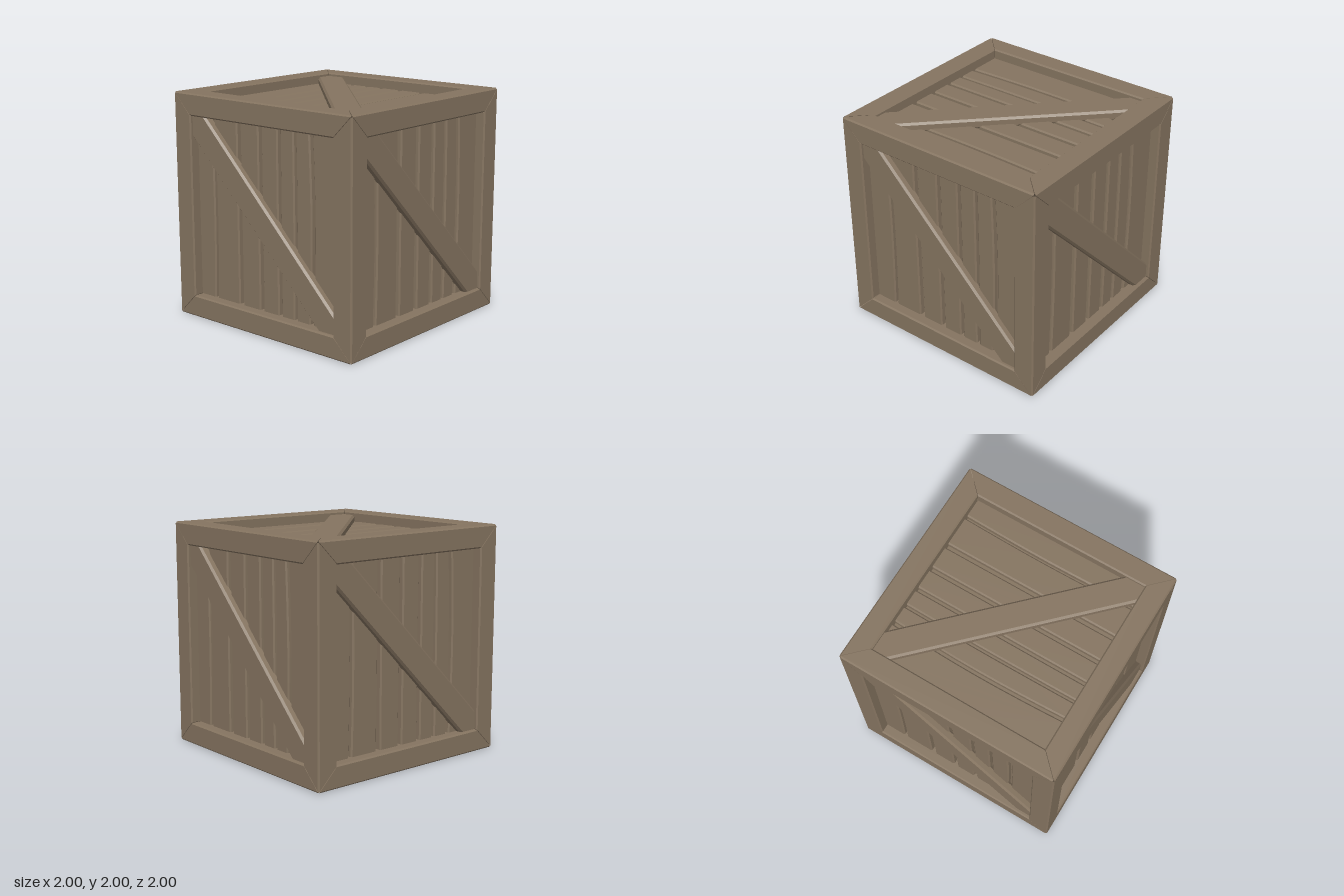
import * as THREE from 'three';

const wood = new THREE.MeshStandardMaterial({ color: 0x857460 });
wood.name = 'brown wood';

const DEPTH = 0.09; // how far the boards sit below the frame

// Square beam along one cube edge, chamfered, with mitred ends
function beamGeometry() {
  const c = 0.012, i = 0.805;
  const section = new THREE.Shape([
    [i, i], [1 - c, i], [1, i + c], [1, 1 - c], [1 - c, 1], [i + c, 1], [i, 1 - c],
  ].map(([x, y]) => new THREE.Vector2(x, y)));
  const geo = new THREE.ExtrudeGeometry(section, { depth: 2, bevelEnabled: false });
  const p = geo.attributes.position;
  for (let k = 0; k < p.count; k++) {
    const end = Math.min(p.getX(k), p.getY(k)) - 0.003;
    p.setZ(k, p.getZ(k) > 1 ? end : -end);
  }
  geo.computeVertexNormals();
  return geo;
}

// Flat board with chamfered edges, its top at the given height
function board(name, points, bottom, top, bevel) {
  const geo = new THREE.ExtrudeGeometry(new THREE.Shape(points), {
    depth: top - bottom - 2 * bevel, bevelEnabled: true, bevelSegments: 1,
    bevelSize: bevel, bevelThickness: bevel, bevelOffset: -bevel,
  });
  geo.translate(0, 0, bottom + bevel);
  const mesh = new THREE.Mesh(geo, wood);
  mesh.name = name;
  return mesh;
}

// Gaps between planks: centre, half width, sideways bow
const GAPS = [
  [-0.595, 0.013, 0.016], [-0.285, 0.02, 0], [-0.04, 0.018, 0],
  [0.175, 0.016, 0], [0.35, 0.013, 0.006], [0.525, 0.016, 0.024],
];

// One recessed side: planks running upward and a diagonal brace
function panel(name, shift) {
  const group = new THREE.Group();
  group.name = name;
  const H = 0.83, N = 8;
  const edge = (gap, side) => {
    const line = [];
    for (let k = 0; k <= N; k++) {
      const v = -H + (2 * H * k) / N;
      const u = gap ? gap[0] + shift + side * gap[1] + gap[2] * Math.cos((v / H) * Math.PI / 2) : -side * H;
      line.push(new THREE.Vector2(u, v));
    }
    return line;
  };
  for (let k = 0; k <= GAPS.length; k++) {
    const left = edge(GAPS[k - 1], 1);
    const right = edge(GAPS[k], -1);
    group.add(board('plank', [...right, ...left.reverse()], 0.85, 1 - DEPTH, 0.012));
  }
  const up = 0.175 + shift, low = -0.17 + shift, L = 0.83;
  const brace = [
    [-L, L], [-L, low + L], [low + L, -L], [L, -L], [L, up - L], [up - L, L],
  ].map(([u, v]) => new THREE.Vector2(u, v));
  group.add(board('diagonalBrace', brace, 0.88, 0.97, 0.018));
  return group;
}

export function createModel() {
  const model = new THREE.Group();
  model.name = 'crate';
  const body = new THREE.Group();
  body.name = 'crateBody';
  body.position.y = 1;
  model.add(body);

  // Core behind the plank gaps
  const core = new THREE.Mesh(new THREE.BoxGeometry(1.72, 1.72, 1.72), wood);
  core.name = 'core';
  body.add(core);

  // Twelve frame beams
  const geo = beamGeometry();
  const turns = [[0, 0, 0], [0, Math.PI / 2, 0], [Math.PI / 2, 0, 0]];
  for (const turn of turns) {
    const set = new THREE.Group();
    set.name = 'frameBeams';
    set.rotation.set(...turn);
    for (let k = 0; k < 4; k++) {
      const beam = new THREE.Mesh(geo, wood);
      beam.name = 'frameBeam';
      beam.rotation.z = (k * Math.PI) / 2;
      set.add(beam);
    }
    body.add(set);
  }

  // Six panels: sideways axis, plank axis, gap shift
  const sides = [
    ['frontPanel', [1, 0, 0], [0, 1, 0], 0],
    ['backPanel', [-1, 0, 0], [0, 1, 0], 0],
    ['leftPanel', [0, 0, -1], [0, 1, 0], -0.027],
    ['rightPanel', [0, 0, 1], [0, 1, 0], -0.027],
    ['topPanel', [0, 0, -1], [-1, 0, 0], -0.027],
    ['bottomPanel', [0, 0, -1], [1, 0, 0], -0.027],
  ];
  for (const [name, u, v, shift] of sides) {
    const U = new THREE.Vector3(...u), V = new THREE.Vector3(...v);
    const side = panel(name, shift);
    side.quaternion.setFromRotationMatrix(
      new THREE.Matrix4().makeBasis(U, V, new THREE.Vector3().crossVectors(U, V)));
    body.add(side);
  }
  return model;
}
